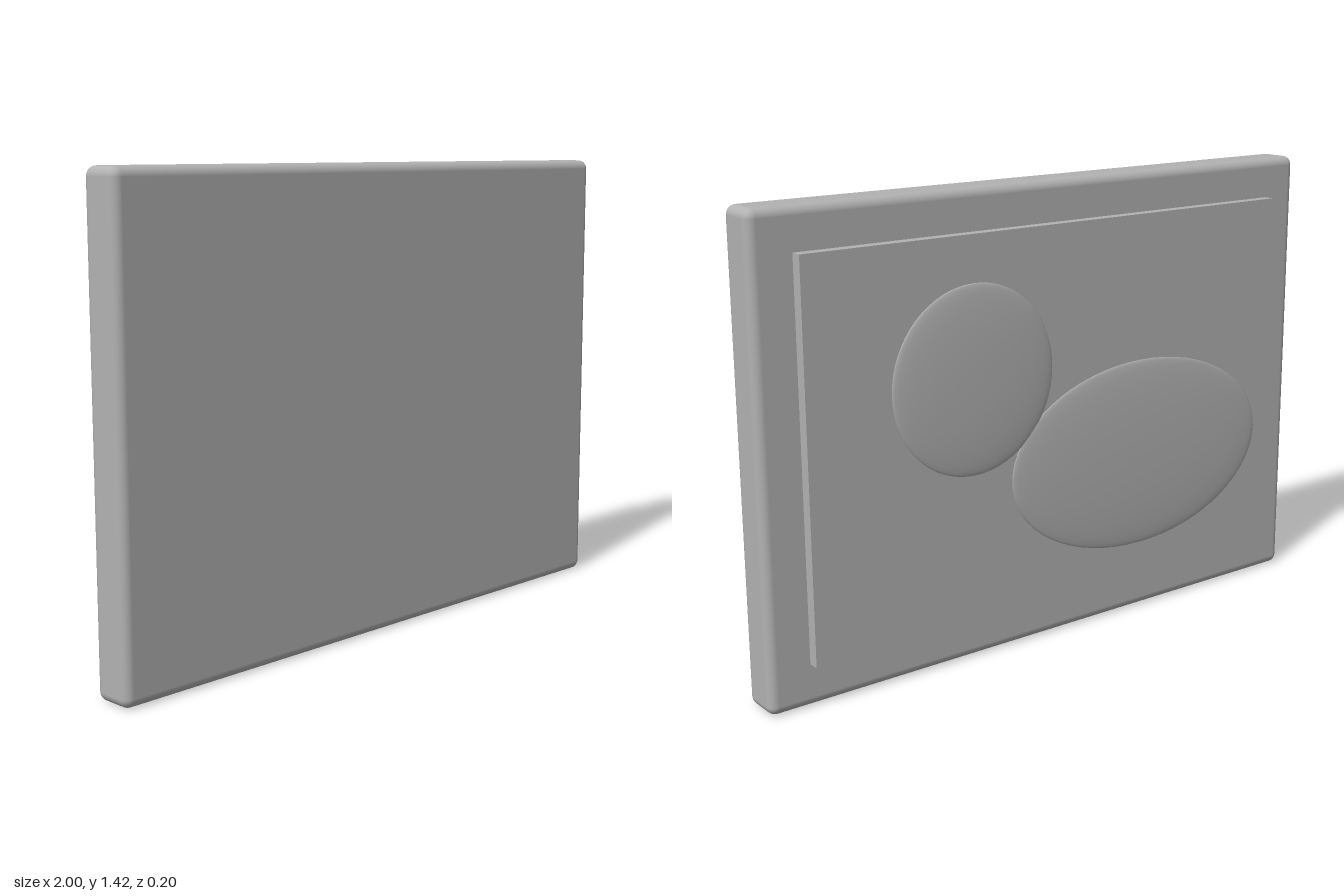
import * as THREE from 'three';
import { RoundedBoxGeometry } from 'three/addons/geometries/RoundedBoxGeometry.js';

export function createModel() {
  const group = new THREE.Group();
  const grey = new THREE.MeshStandardMaterial({ color: 0xb2b2b2 });
  grey.name = 'grey';

  const add = (name, geometry, x, y, z) => {
    const mesh = new THREE.Mesh(geometry, grey);
    mesh.name = name;
    mesh.position.set(x, y, z);
    group.add(mesh);
    return mesh;
  };

  // Main slab with softly rounded edges
  add('slab', new RoundedBoxGeometry(2, 1.42, 0.13, 4, 0.028), 0, 0.71, 0.034);

  // Thin sharp-edged panel on the back
  add('backPanel', new THREE.BoxGeometry(1.74, 1.165, 0.04), 0, 0.7125, -0.046);

  // Flattened discs resting on the panel
  const disc = new THREE.SphereGeometry(1, 48, 32);
  add('smallDisc', disc, 0.33, 0.876, -0.0825).scale.set(0.28, 0.283, 0.0168);
  add('largeDisc', disc, -0.3, 0.545, -0.0825).scale.set(0.5, 0.3, 0.0168);

  return group;
}
